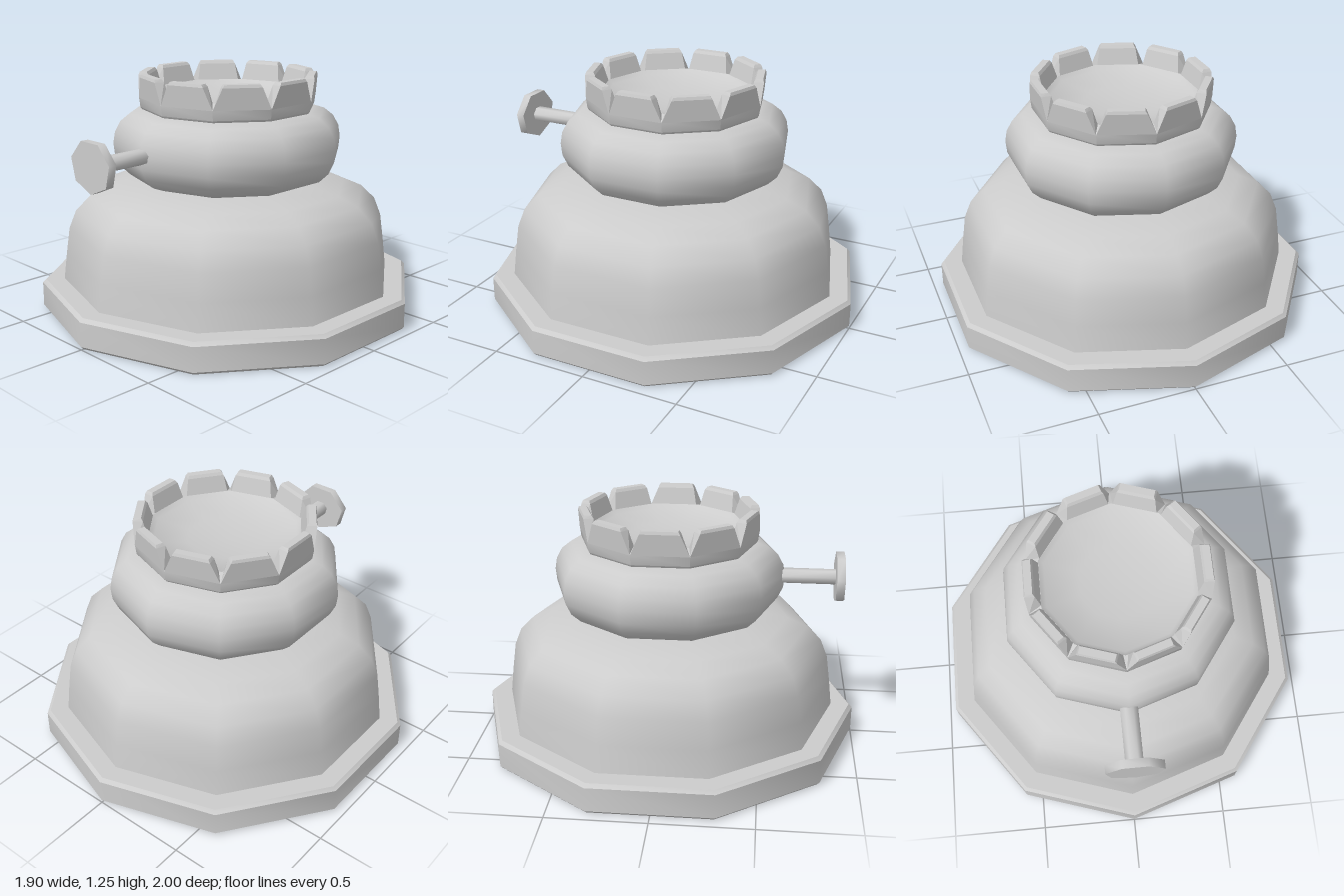
import * as THREE from 'three';
import { toCreasedNormals } from 'three/addons/utils/BufferGeometryUtils.js';
import { ConvexGeometry } from 'three/addons/geometries/ConvexGeometry.js';

const SIDES = 10;
const grey = new THREE.MeshStandardMaterial({ color: 0xcccccc });
grey.name = 'grey';

function addMesh(parent, name, geometry) {
  const mesh = new THREE.Mesh(geometry, grey);
  mesh.name = name;
  parent.add(mesh);
  return mesh;
}

// Faceted turning with soft sides and sharp rims; profile runs bottom to top
function turned(profile, sides = SIDES, crease = 0.72) {
  const points = profile.map(([r, y]) => new THREE.Vector2(r, y));
  return toCreasedNormals(new THREE.LatheGeometry(points, sides), crease);
}

// One crown tooth on one side of the decagon, narrowing towards its top
function toothGeometry(index) {
  const step = (Math.PI * 2) / SIDES;
  const corner = (r, y, k) =>
    new THREE.Vector3(r * Math.sin(k * step), y, r * Math.cos(k * step));
  const points = [];
  // radius, height, inset from each end as a share of the side
  const rows = [
    [0.467, 1.125, 0], [0.479, 1.235, 0.17], [0.474, 1.25, 0.2],
    [0.395, 1.13, 0.03], [0.425, 1.235, 0.13], [0.435, 1.25, 0.17],
  ];
  for (const [r, y, inset] of rows) {
    const a = corner(r, y, index);
    const b = corner(r, y, index + 1);
    points.push(a.clone().lerp(b, inset), b.clone().lerp(a, inset));
  }
  return new ConvexGeometry(points);
}

export function createModel() {
  const model = new THREE.Group();
  model.name = 'crownedPedestal';

  // Base slab
  addMesh(model, 'base', turned([
    [0, 0], [0.985, 0], [1, 0.015], [1, 0.142], [0.982, 0.16], [0, 0.16],
  ]));

  // Domed body
  addMesh(model, 'body', turned([
    [0.885, 0.16], [0.868, 0.3], [0.848, 0.44], [0.81, 0.535],
    [0.735, 0.61], [0.63, 0.655], [0.45, 0.692], [0, 0.692],
  ]));

  // Bulging collar
  addMesh(model, 'collar', turned([
    [0, 0.69], [0.45, 0.69], [0.52, 0.717], [0.57, 0.765], [0.598, 0.825],
    [0.605, 0.89], [0.595, 0.95], [0.565, 1.005], [0.515, 1.045],
    [0.46, 1.062], [0, 1.068],
  ]));

  // Crown band with a shallow dish inside
  const crown = new THREE.Group();
  crown.name = 'crown';
  model.add(crown);
  addMesh(crown, 'crownBand', turned([
    [0.452, 1.064], [0.46, 1.075], [0.467, 1.13], [0.4, 1.15],
    [0.375, 1.13], [0.2, 1.1], [0, 1.085],
  ]));
  for (let i = 0; i < SIDES; i++) addMesh(crown, 'crownTooth', toothGeometry(i));

  // Seven-sided knob on the front
  const knob = new THREE.Group();
  knob.name = 'knob';
  addMesh(knob, 'knobStem', turned([[0.046, 0.55], [0.046, 0.87]], 7, 1));
  addMesh(knob, 'knobPlate', turned([
    [0, 0.865], [0.149, 0.865], [0.149, 0.908], [0, 0.908],
  ], 7, 1));
  knob.rotation.x = Math.PI / 2;
  knob.scale.z = 0.88;
  knob.position.y = 0.891;
  model.add(knob);

  return model;
}
